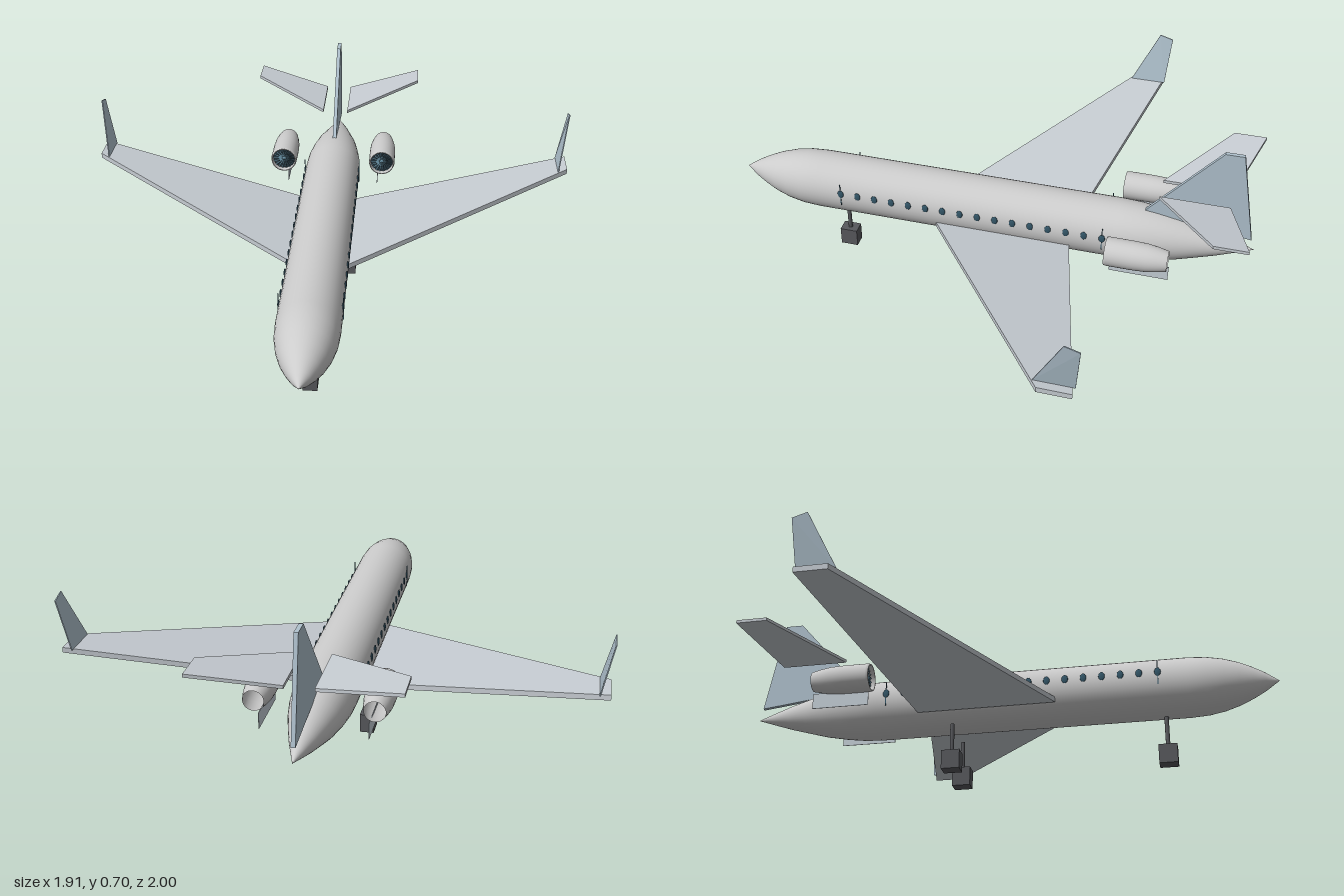
import * as THREE from 'three';
import { ConvexGeometry } from 'three/addons/geometries/ConvexGeometry.js';

const AXIS_Y = 0.298; // height of the fuselage centreline

const mat = (color, extra = {}) => new THREE.MeshStandardMaterial({ color, ...extra });
const body = mat(0xcccccc);
const shell = mat(0xcccccc, { side: THREE.DoubleSide });
const wingPaint = mat(0xc6ccd2);
const finPaint = mat(0xb0c2ce);
const plate = mat(0xc6d0d8, { side: THREE.DoubleSide });
const glass = mat(0x35586a);
const fanPaint = mat(0x5f8496, { side: THREE.DoubleSide });
const fanDark = mat(0x2a3c46, { side: THREE.DoubleSide });
const gearPaint = mat(0x58595d);

function add(parent, name, geometry, material, x = 0, y = 0, z = 0) {
  const mesh = new THREE.Mesh(geometry, material);
  mesh.name = name;
  mesh.position.set(x, y, z);
  parent.add(mesh);
  return mesh;
}

// Flat panel: corner outline thickened by +-offset
function panel(corners, offset) {
  const o = new THREE.Vector3(...offset);
  const points = corners.flatMap((c) => {
    const p = new THREE.Vector3(...c);
    return [p.clone().add(o), p.clone().sub(o)];
  });
  return new ConvexGeometry(points);
}

// Lathe profile of [radius, z] pairs turned about the z axis
function turned(profile, segments) {
  const pts = profile.map(([r, z]) => new THREE.Vector2(r, z));
  return new THREE.LatheGeometry(pts, segments).rotateX(Math.PI / 2);
}

function createEngine(side) {
  const engine = new THREE.Group();
  engine.name = side > 0 ? 'leftEngine' : 'rightEngine';
  engine.position.set(side * 0.204, 0.346, -0.485);

  // Hollow nacelle with a tapered exhaust
  add(engine, 'nacelle', turned([
    [0.037, -0.225], [0.045, -0.19], [0.051, -0.15], [0.053, -0.1],
    [0.053, -0.01], [0.051, 0], [0.046, 0], [0.045, -0.02],
  ], 32), shell);
  add(engine, 'fanBackplate', new THREE.CircleGeometry(0.05, 32), fanDark, 0, 0, -0.03);

  // Fan blades and spinner
  const fan = new THREE.Group();
  fan.name = 'fan';
  fan.position.z = -0.016;
  engine.add(fan);
  const blades = 18;
  for (let i = 0; i < blades; i++) {
    const geometry = new THREE.BoxGeometry(0.036, 0.006, 0.002);
    geometry.rotateX(0.5).translate(0.027, 0, 0);
    add(fan, 'fanBlade', geometry, fanPaint).rotation.z = (i / blades) * Math.PI * 2;
  }
  add(fan, 'spinner', new THREE.ConeGeometry(0.012, 0.02, 16).rotateX(Math.PI / 2), fanPaint, 0, 0, 0.005);

  // Thin plate hanging under the nacelle
  add(engine, 'pylonPlate', new THREE.BoxGeometry(0.002, 0.06, 0.215), plate, -side * 0.018, -0.071, -0.122);
  return engine;
}

function createGear(name, x, z, top) {
  const gear = new THREE.Group();
  gear.name = name;
  gear.position.set(x, 0, z);
  add(gear, 'strut', new THREE.CylinderGeometry(0.008, 0.008, top - 0.06, 12), gearPaint, 0, (top + 0.06) / 2, 0);
  add(gear, 'wheelBlock', new THREE.BoxGeometry(0.052, 0.072, 0.068), gearPaint, 0, 0.036, 0);
  return gear;
}

export function createModel() {
  const plane = new THREE.Group();
  plane.name = 'airplane';

  // Fuselage
  add(plane, 'fuselage', turned([
    [0, -1], [0.022, -0.935], [0.045, -0.865], [0.066, -0.79], [0.085, -0.72],
    [0.1, -0.64], [0.109, -0.57], [0.112, -0.5], [0.112, 0.67], [0.108, 0.74],
    [0.097, 0.8], [0.08, 0.855], [0.058, 0.905], [0.034, 0.95], [0, 1],
  ], 40), body, 0, AXIS_Y, 0);

  for (const s of [1, -1]) {
    const side = s > 0 ? 'left' : 'right';

    // Swept wing with dihedral
    add(plane, side + 'Wing', panel([
      [s * 0.1, 0.246, 0.187], [s * 0.1, 0.246, -0.332],
      [s * 0.953, 0.377, -0.522], [s * 0.953, 0.377, -0.405],
    ], [0, 0.01, 0]), wingPaint);

    // Winglet leaning outward
    add(plane, side + 'Winglet', panel([
      [s * 0.917, 0.38, -0.385], [s * 0.917, 0.38, -0.525],
      [s * 0.953, 0.572, -0.54], [s * 0.953, 0.588, -0.487],
    ], [0.002, 0, 0]), finPaint);

    // Tailplane
    add(plane, side + 'Tailplane', panel([
      [s * 0.05, 0.503, -0.642], [s * 0.05, 0.503, -0.895],
      [s * 0.343, 0.557, -0.982], [s * 0.343, 0.557, -0.862],
    ], [0, 0.006, 0]), wingPaint);

    // Cabin windows
    for (let i = 0; i < 16; i++) {
      const geometry = new THREE.SphereGeometry(1, 16, 10).scale(0.004, 0.017, 0.012);
      add(plane, side + 'Window', geometry, glass, s * 0.1105, 0.32, 0.565 - i * 0.068);
    }
    // Slim upright strips at both ends of the window row
    for (const z of [0.565, -0.455]) {
      add(plane, side + 'WindowStrip', new THREE.BoxGeometry(0.003, 0.095, 0.003), glass, s * 0.112, 0.318, z);
    }

    plane.add(createEngine(s));
    plane.add(createGear(side + 'MainGear', s * 0.09, -0.2, 0.182));
  }

  // Vertical fin
  add(plane, 'verticalFin', panel([
    [0, 0.395, -0.585], [0, 0.345, -0.985], [0, 0.703, -0.918], [0, 0.703, -0.85],
  ], [0.0075, 0, 0]), finPaint);

  // Nose landing gear
  plane.add(createGear('noseGear', 0, 0.583, 0.2));

  return plane;
}
